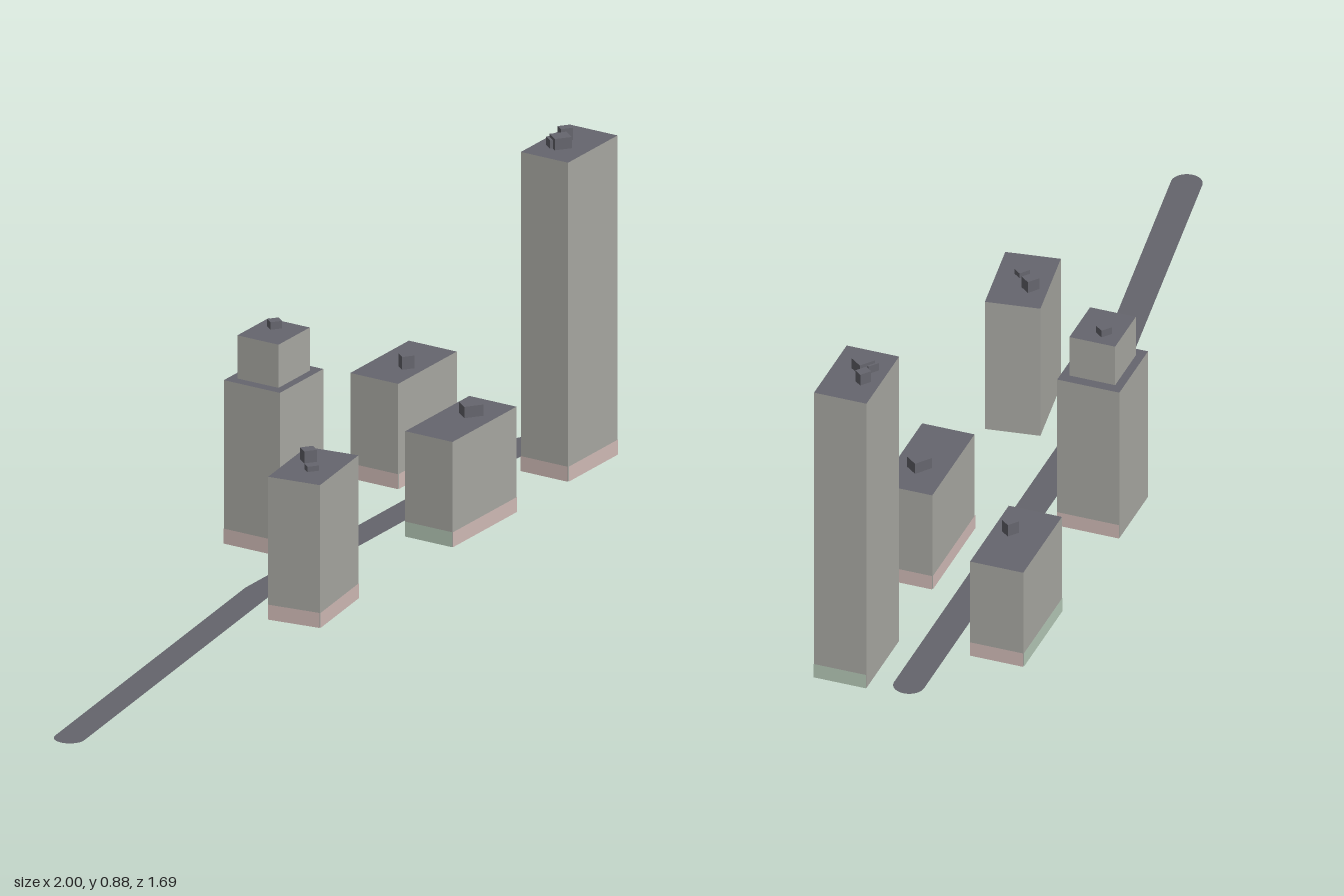
import * as THREE from 'three';

const paint = (name, color, side = THREE.FrontSide) => {
  const m = new THREE.MeshStandardMaterial({ color, side });
  m.name = name;
  return m;
};

export function createModel() {
  const wall = paint('concrete', 0xa9a9a3, THREE.DoubleSide);
  const roof = paint('roof slate', 0x66666e, THREE.DoubleSide);
  const asphalt = paint('asphalt', 0x65656c, THREE.DoubleSide);
  const pink = paint('pink shopfront', 0xd2bcb8);
  const green = paint('green shopfront', 0xb6cab8);
  const city = new THREE.Group();
  city.name = 'cityBlock';

  const add = (parent, name, geo, mat, x, y, z) => {
    const m = new THREE.Mesh(geo, mat);
    m.name = name;
    m.position.set(x, y, z);
    parent.add(m);
    return m;
  };

  // Upright panel on one side of a block: 0 = +z, 1 = +x, 2 = -z, 3 = -x
  const panel = (parent, name, side, w, d, y0, y1, mat, gap = 0) => {
    const a = side * Math.PI / 2;
    const out = (side % 2 ? w : d) / 2 + gap;
    const m = add(parent, name, new THREE.PlaneGeometry(side % 2 ? d : w, y1 - y0), mat,
      Math.sin(a) * out, (y0 + y1) / 2, Math.cos(a) * out);
    m.rotation.y = a;
  };

  // Four walls, open below, with a flat roof
  const tier = (parent, w, d, y0, y1) => {
    for (let s = 0; s < 4; s++) panel(parent, 'wall', s, w, d, y0, y1, wall);
    add(parent, 'roof', new THREE.PlaneGeometry(w, d).rotateX(-Math.PI / 2), roof, 0, y1, 0);
  };

  // tiers: [width, depth, top]; shops in order +z, +x, -z, -x
  // units: rooftop boxes in world axes [x, z, width, depth, height]
  const buildings = [
    { name: 'tower', x: 0.865, z: -0.599, turn: 37.5, tiers: [[0.228, 0.14, 0.85]],
      shops: [pink, green, null, pink],
      units: [[0.838, -0.587, 0.045, 0.04, 0.03], [0.867, -0.634, 0.032, 0.024, 0.032],
        [0.823, -0.597, 0.03, 0.03, 0.022]] },
    { name: 'backBlock', x: 0.465, z: -0.707, turn: 37.5, tiers: [[0.27, 0.142, 0.28]],
      shops: [pink, pink, green, pink], units: [[0.46, -0.672, 0.032, 0.028, 0.034]] },
    { name: 'middleBlock', x: 0.465, z: -0.284, turn: 37.5, tiers: [[0.295, 0.14, 0.28]],
      shops: [pink, pink, pink, green], units: [[0.5, -0.305, 0.05, 0.038, 0.03]] },
    { name: 'steppedBlock', x: -0.007, z: -0.351, turn: 37.5,
      tiers: [[0.2, 0.166, 0.435], [0.144, 0.122, 0.55]],
      shops: [green, pink, null, pink], units: [[0.005, -0.377, 0.03, 0.026, 0.02]] },
    { name: 'frontBlock', x: -0.082, z: 0.151, turn: 45.7, tiers: [[0.231, 0.142, 0.38]],
      shops: [pink, null, null, pink],
      units: [[-0.08, 0.111, 0.034, 0.03, 0.032], [-0.095, 0.175, 0.03, 0.023, 0.014]] },
  ];

  for (const b of buildings) {
    const g = new THREE.Group();
    g.name = b.name;
    g.position.set(b.x, 0, b.z);
    g.rotation.y = b.turn * Math.PI / 180;
    let base = 0;
    for (const [w, d, top] of b.tiers) {
      tier(g, w, d, base, top);
      base = top;
    }
    // Shopfront bands at street level
    b.shops.forEach((mat, s) => {
      if (mat) panel(g, 'shopfront', s, b.tiers[0][0], b.tiers[0][1], 0, 0.04, mat, 0.002);
    });
    city.add(g);
    for (const [x, z, w, d, h] of b.units) {
      add(city, 'rooftopUnit', new THREE.BoxGeometry(w, h, d), roof, x, base + h / 2, z);
    }
  }

  // Flat road with one bend and round ends; shape y is world -z
  const r = 0.04;
  const [p, q, e] = [[-0.96, -0.8], [-0.165, 0.015], [0.815, 0.768]];
  const a = Math.atan2(q[1] - p[1], q[0] - p[0]);
  const c = Math.atan2(e[1] - q[1], e[0] - q[0]);
  const mid = (a + c) / 2, miter = r / Math.cos((a - c) / 2);
  const road = new THREE.Shape();
  road.absarc(p[0], p[1], r, a + Math.PI / 2, a + 1.5 * Math.PI, false);
  road.lineTo(q[0] + miter * Math.sin(mid), q[1] - miter * Math.cos(mid));
  road.absarc(e[0], e[1], r, c - Math.PI / 2, c + Math.PI / 2, false);
  road.lineTo(q[0] - miter * Math.sin(mid), q[1] + miter * Math.cos(mid));
  road.closePath();
  add(city, 'road', new THREE.ShapeGeometry(road, 10).rotateX(-Math.PI / 2), asphalt, 0, 0, 0);

  return city;
}
